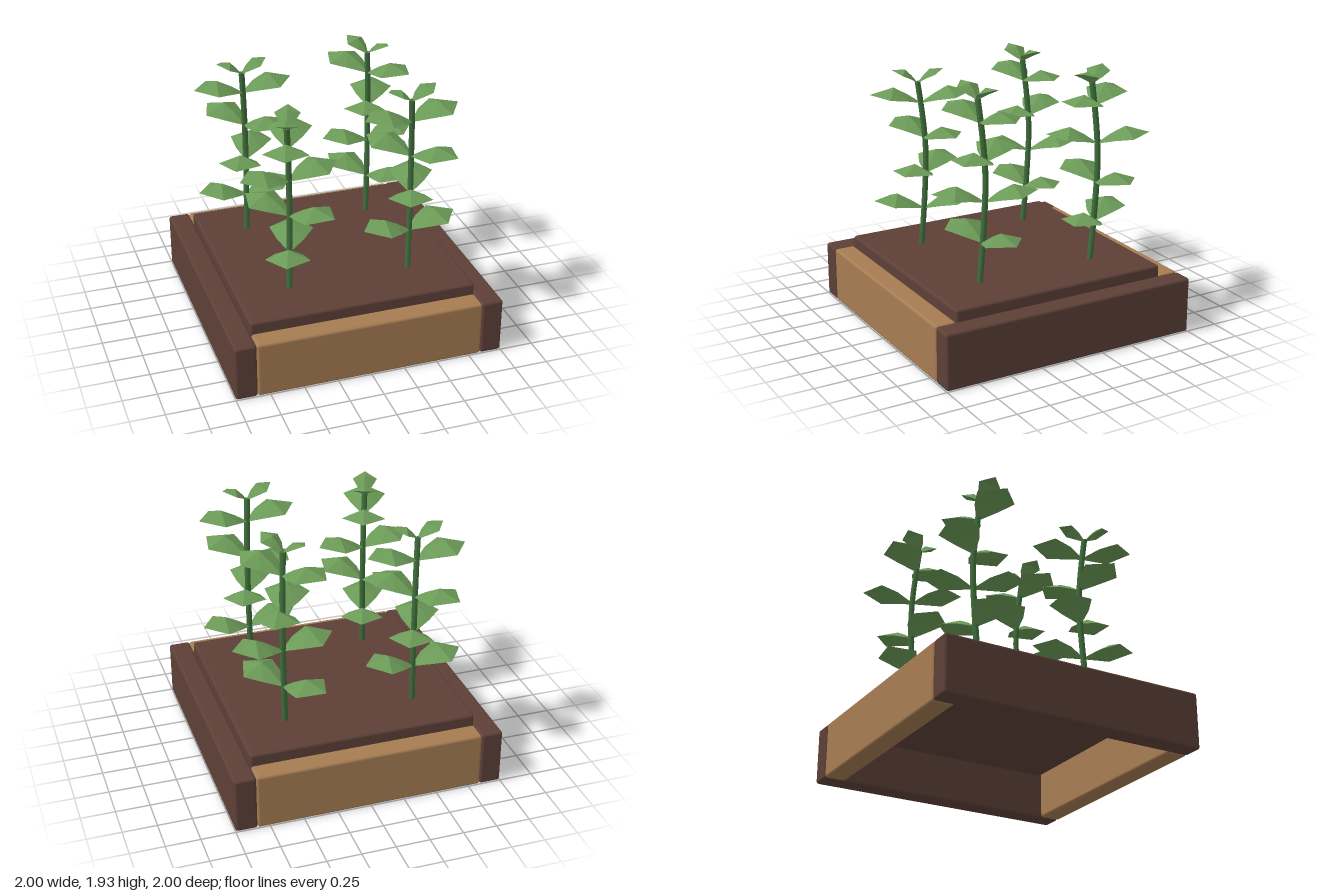
import * as THREE from 'three';
import { RoundedBoxGeometry } from 'three/addons/geometries/RoundedBoxGeometry.js';

const mat = (name, color, extra = {}) => new THREE.MeshStandardMaterial({ name, color, ...extra });

// Leaf along +x: a folded blade that arches up and droops at the tip and edges
function leafGeometry() {
  // [rib reach, rib height, edge reach, edge height, half width]
  const rows = [
    [0, 0, 0, 0, 0.012],
    [0.1, 0.07, 0.11, 0.04, 0.1],
    [0.2, 0.125, 0.235, 0.065, 0.16],
    [0.375, 0.075, 0.375, 0.075, 0],
  ];
  const pos = [];
  const tri = (...points) => points.forEach((p) => pos.push(...p));
  for (let i = 0; i < rows.length - 1; i++) {
    const [a, b] = [rows[i], rows[i + 1]];
    for (const s of [1, -1]) {
      const ribA = [a[0], a[1], 0], ribB = [b[0], b[1], 0];
      const edgeA = [a[2], a[3], s * a[4]], edgeB = [b[2], b[3], s * b[4]];
      const last = i === rows.length - 2;
      if (s > 0) {
        tri(ribA, edgeA, ribB);
        if (!last) tri(edgeA, edgeB, ribB);
      } else {
        tri(ribA, ribB, edgeA);
        if (!last) tri(edgeA, ribB, edgeB);
      }
    }
  }
  const g = new THREE.BufferGeometry();
  g.setAttribute('position', new THREE.Float32BufferAttribute(pos, 3));
  g.computeVertexNormals();
  return g;
}

export function createModel() {
  const model = new THREE.Group();
  model.name = 'planterBed';
  const darkWood = mat('dark brown', 0x5d4037);
  const lightWood = mat('light wood', 0xa67c52);
  const stemGreen = mat('stem green', 0x3f6f3c);
  const leafGreen = mat('leaf green', 0x6b9a57, { side: THREE.DoubleSide, flatShading: true });

  const box = (name, material, size, position) => {
    const mesh = new THREE.Mesh(new RoundedBoxGeometry(...size, 3, 0.02), material);
    mesh.name = name;
    mesh.position.set(...position);
    model.add(mesh);
  };

  // Wooden frame and soil slab
  for (const s of [1, -1]) {
    box(s > 0 ? 'leftBoard' : 'rightBoard', darkWood, [0.16, 0.42, 2], [s * 0.92, 0.21, 0]);
    box(s > 0 ? 'frontBoard' : 'backBoard', lightWood, [1.68, 0.42, 0.16], [0, 0.21, s * 0.92]);
  }
  box('soil', darkWood, [1.68, 0.16, 1.68], [0, 0.42, 0]);

  const leafGeo = leafGeometry();
  const stemPath = (h) => new THREE.CatmullRomCurve3([
    [0, -0.03, 0], [0.015, 0.4, -0.027], [0.02, 0.8, -0.04], [0.01, 1.1, -0.02], [-0.005, 1.34, 0.005],
  ].map(([x, y, z]) => new THREE.Vector3(x, y * h, z)));

  // Each plant: base x, base z, height factor, turn of its first leaf pair in degrees
  const plants = [
    [-0.5, -0.475, 0.972, 4],
    [-0.44, 0.455, 0.94, 70],
    [0.475, -0.47, 1, -55],
    [0.47, 0.455, 1, 9],
  ];
  for (const [x, z, h, turn] of plants) {
    const plant = new THREE.Group();
    plant.name = 'plant';
    plant.position.set(x, 0.5, z);

    // Bowed stem with a closed top
    const path = stemPath(h);
    const stem = new THREE.Mesh(new THREE.TubeGeometry(path, 12, 0.022, 8), stemGreen);
    stem.name = 'stem';
    const cap = new THREE.Mesh(new THREE.CircleGeometry(0.022, 8), stemGreen);
    cap.name = 'stemTop';
    cap.position.copy(path.getPoint(1));
    cap.lookAt(cap.position.clone().add(path.getTangent(1)));
    plant.add(stem, cap);

    // Opposite leaf pairs, each turned 60 degrees from the one below
    const addPair = (name, y, degrees, scale, tilt) => {
      let t = 0;
      while (t < 1 && path.getPoint(t).y < y * h) t += 0.01;
      for (const half of [0, 180]) {
        const leaf = new THREE.Mesh(leafGeo, leafGreen);
        leaf.name = name;
        leaf.position.copy(path.getPoint(Math.min(t, 1)));
        leaf.rotation.set(0, THREE.MathUtils.degToRad(degrees + half), tilt);
        leaf.scale.setScalar(scale);
        plant.add(leaf);
      }
    };
    [0.29, 0.59, 0.88, 1.16].forEach((y, i) => addPair('leaf', y, turn + i * 60, 1, 0));
    addPair('topLeaf', 1.33, turn, 0.57, 0.3);
    model.add(plant);
  }
  return model;
}
